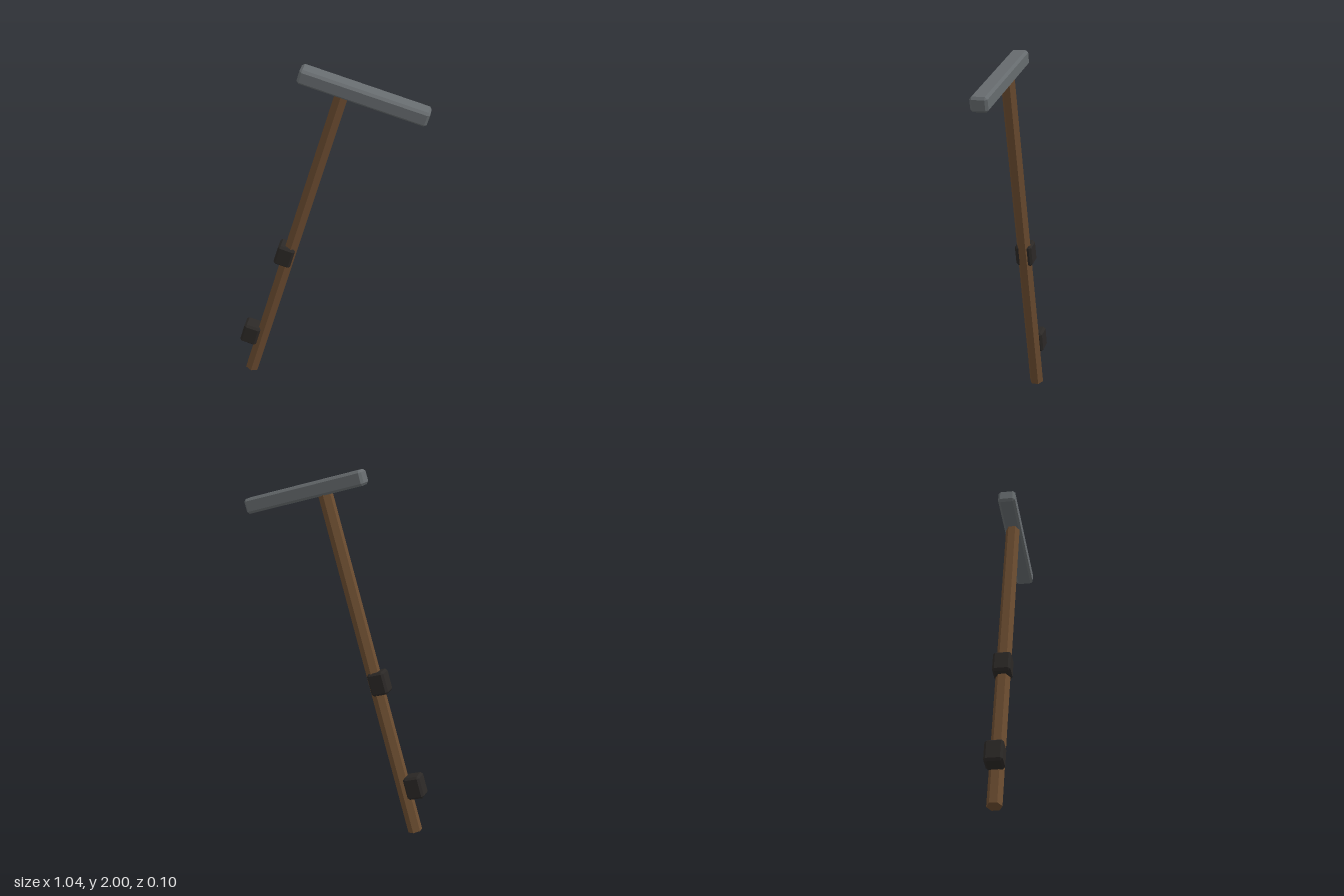
import * as THREE from 'three';
import { ConvexGeometry } from 'three/addons/geometries/ConvexGeometry.js';

const TILT = THREE.MathUtils.degToRad(-16);

// Box with a single flat chamfer on every edge
function chamferedBox(w, h, d, b) {
  const half = [w / 2, h / 2, d / 2];
  const points = [];
  for (const sx of [-1, 1]) for (const sy of [-1, 1]) for (const sz of [-1, 1]) {
    for (let axis = 0; axis < 3; axis++) {
      const p = half.map((v, i) => (i === axis ? v : v - b));
      points.push(new THREE.Vector3(p[0] * sx, p[1] * sy, p[2] * sz));
    }
  }
  return new ConvexGeometry(points);
}

function material(color) {
  return new THREE.MeshStandardMaterial({ color, flatShading: true });
}

export function createModel() {
  const model = new THREE.Group();
  model.name = 'longHammer';

  // Every part leans by the same angle
  const add = (name, geometry, mat, x, y) => {
    const mesh = new THREE.Mesh(geometry, mat);
    mesh.name = name;
    mesh.position.set(x, y, 0);
    mesh.rotation.z = TILT;
    model.add(mesh);
  };

  const wood = material(0x6b4c30);
  const metal = material(0x666b6e);
  const dark = material(0x2b2826);

  // Six-sided handle, its base end at the origin of its geometry
  const handle = new THREE.CylinderGeometry(0.04, 0.04, 1.94, 6).translate(0, 0.97, 0);
  add('handle', handle, wood, -0.468, 0.01);

  // Long bar across the top
  add('head', chamferedBox(0.695, 0.083, 0.097, 0.013), metal, 0.178, 1.868);

  // Dark blocks along the handle
  const block = chamferedBox(0.097, 0.127, 0.097, 0.012);
  add('middleGrip', block, dark, -0.25, 0.85);
  add('lowerGrip', block, dark, -0.463, 0.276);

  return model;
}
